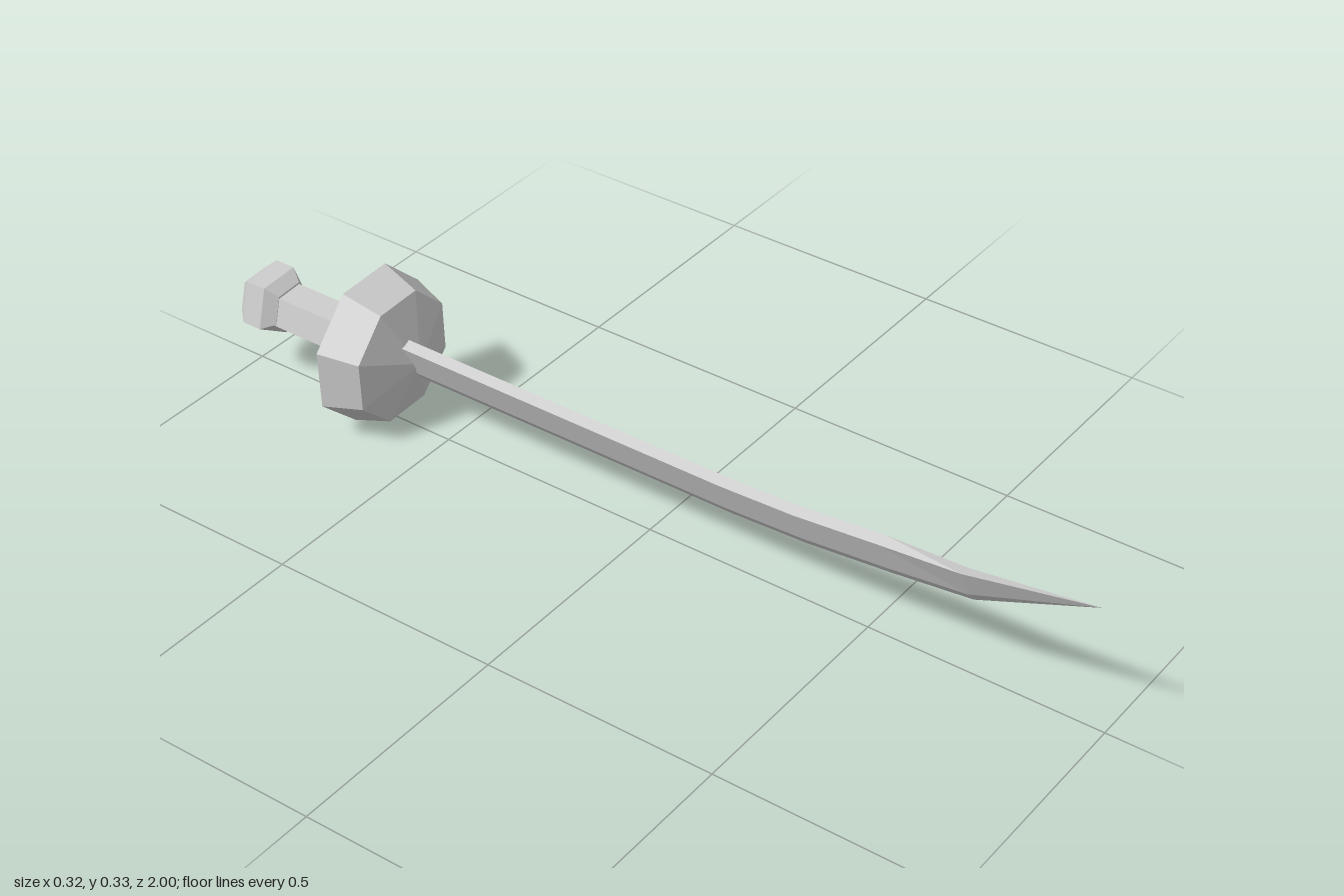
import * as THREE from 'three';

const ROLL = THREE.MathUtils.degToRad(21.4); // lean of the blade about its length
const mat = new THREE.MeshStandardMaterial({ color: 0xcccccc, flatShading: true });
const thinMat = new THREE.MeshStandardMaterial({ color: 0xcccccc, flatShading: true, side: THREE.DoubleSide });

function part(name, geometry, material = mat) {
  const mesh = new THREE.Mesh(geometry, material);
  mesh.name = name;
  return mesh;
}

// Faceted solid around the z axis; profile is [radius, z] from back to front,
// firstCorner is the angle of one corner in degrees.
function turned(profile, sides, firstCorner) {
  const points = profile.map(([r, z]) => new THREE.Vector2(r, z));
  const start = THREE.MathUtils.degToRad(firstCorner + 90);
  return new THREE.LatheGeometry(points, sides, start).rotateX(Math.PI / 2);
}

// Skin over counter-clockwise cross-sections, ordered from back to front.
function loft(rings) {
  const n = rings[0].length;
  const index = [];
  for (let j = 0; j < rings.length - 1; j++) {
    for (let i = 0; i < n; i++) {
      const a = j * n + i, b = j * n + (i + 1) % n;
      index.push(a, b, b + n, a, b + n, a + n);
    }
  }
  for (let i = 1; i < n - 1; i++) index.push(0, i + 1, i); // back cap
  const g = new THREE.BufferGeometry();
  g.setAttribute('position', new THREE.Float32BufferAttribute(rings.flat(2), 3));
  g.setIndex(index);
  g.computeVertexNormals();
  return g;
}

function bladeGeometry() {
  // z, cutting edge height, spine height
  const stations = [
    [-0.6, -0.054, 0.054],
    [0.18, -0.054, 0.054],
    [0.35, -0.043, 0.064],
    [0.54, -0.015, 0.092],
    [0.72, 0.018, 0.124],
  ];
  const t = 0.012;
  const rings = stations.map(([z, low, high], k) => {
    const drop = k === stations.length - 1 ? 0.014 : 0; // slanted end of the spine
    return [
      [0, low, z],
      [t, low + 0.034, z],
      [t - drop * 0.3, high - drop, z],
      [-t - drop * 0.3, high, z],
      [-t, low + 0.034, z],
    ];
  });
  rings.push(rings[0].map(() => [0, 0.185, 1])); // point
  return loft(rings);
}

// Angular bow drawn as (radius, z) and given a flat width
function knuckleGeometry() {
  const outline = [
    [0.085, -0.62], [0.108, -0.69], [0.135, -0.79], [0.118, -0.868], [0.035, -0.875],
    [0.035, -0.898], [0.14, -0.885], [0.158, -0.79], [0.13, -0.69], [0.108, -0.62],
  ];
  const shape = new THREE.Shape(outline.map(([x, y]) => new THREE.Vector2(x, y)));
  const width = 0.046;
  return new THREE.ExtrudeGeometry(shape, { depth: width, bevelEnabled: false })
    .translate(0, 0, -width / 2)
    .rotateX(Math.PI / 2);
}

export function createModel() {
  const model = new THREE.Group();
  model.name = 'cutlass';
  const sword = new THREE.Group();
  sword.name = 'sword';
  sword.position.y = 0.158;
  model.add(sword);

  // Curved single-edged blade
  const blade = part('blade', bladeGeometry());
  blade.rotation.z = ROLL;

  // Open eight-sided cup guard
  const guard = part('cupGuard', turned([[0.168, -0.695], [0.14, -0.61], [0, -0.565]], 8, 24.7), thinMat);

  // Five-sided grip and pommel
  const grip = part('grip', turned([[0, -0.93], [0.052, -0.93], [0.052, -0.59], [0, -0.59]], 5, 57.5));
  const pommel = part('pommel', turned(
    [[0, -1], [0.05, -1], [0.076, -0.975], [0.076, -0.93], [0.052, -0.905], [0, -0.905]], 5, 57.5));
  pommel.position.y = 0.004;

  // Knuckle bow, below and to the left of the grip
  const bow = part('knuckleBow', knuckleGeometry());
  bow.rotation.z = THREE.MathUtils.degToRad(-43);

  sword.add(blade, guard, grip, pommel, bow);
  return model;
}
